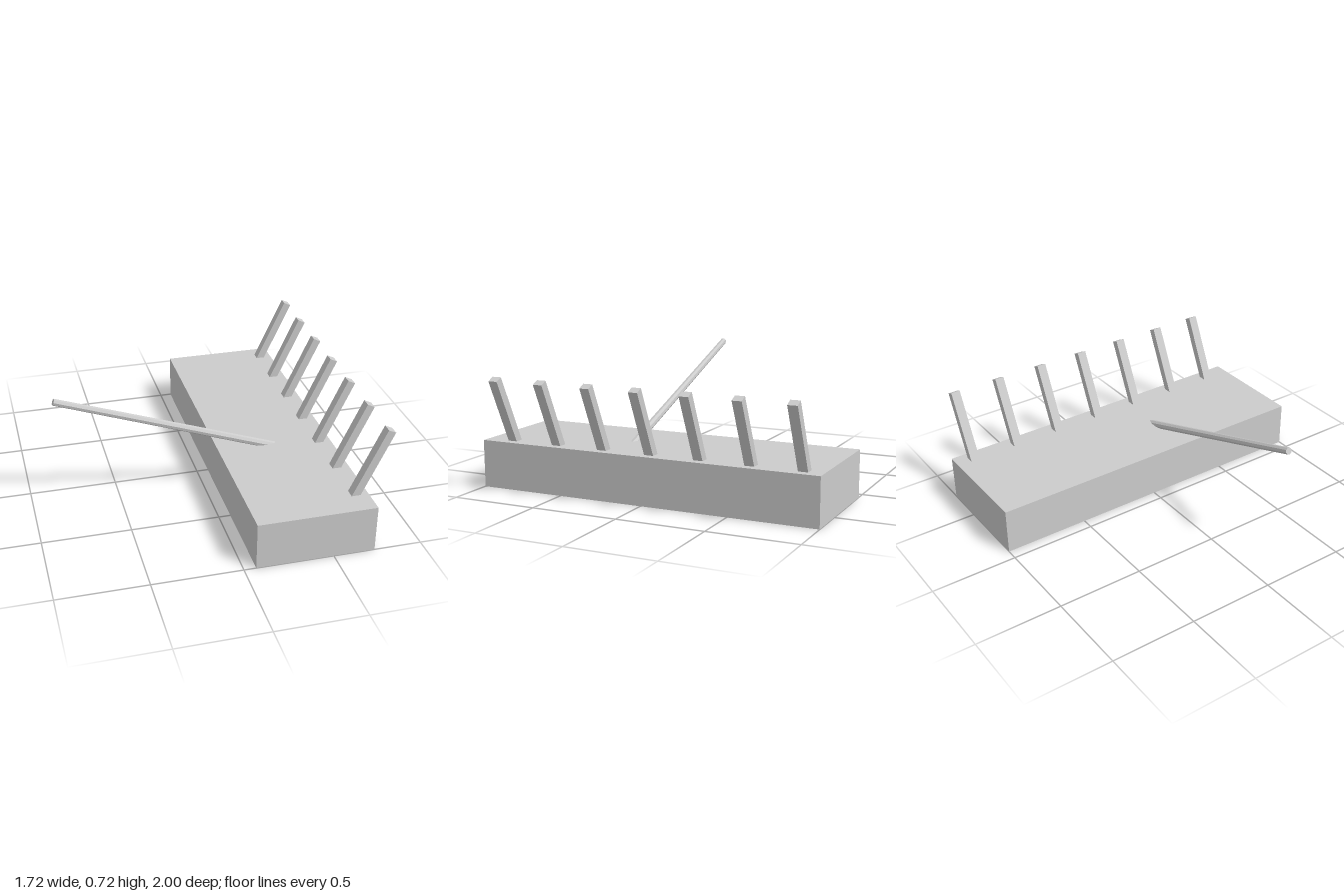
import * as THREE from 'three';

const material = new THREE.MeshStandardMaterial({ color: 0xcccccc, flatShading: true });

// Places a y-aligned geometry of the right length between two points in an xy plane
function between(name, [x0, y0], [x1, y1], z, makeGeometry) {
  const length = Math.hypot(x1 - x0, y1 - y0);
  const mesh = new THREE.Mesh(makeGeometry(length), material);
  mesh.name = name;
  mesh.position.set((x0 + x1) / 2, (y0 + y1) / 2, z);
  mesh.rotation.z = Math.atan2(x0 - x1, y1 - y0);
  return mesh;
}

export function createModel() {
  const group = new THREE.Group();
  group.name = 'peggedBlock';

  // Long rectangular base
  const base = new THREE.Mesh(new THREE.BoxGeometry(0.665, 0.27, 2), material);
  base.name = 'base';
  base.position.set(0.4, 0.135, 0);
  group.add(base);

  // Row of seven square pegs leaning outward, set into the base
  for (let i = 0; i < 7; i++) {
    group.add(between('peg', [0.614, 0.17], [0.835, 0.642], -0.892 + i * 0.288,
      (length) => new THREE.BoxGeometry(0.046, length, 0.054)));
  }

  // Slim, slightly tapered faceted rod rising from the base to the right
  group.add(between('rod', [0.45, 0.234], [-0.853, 0.703], 0.218,
    (length) => new THREE.CylinderGeometry(0.0195, 0.023, length, 8).rotateY(0.2)));

  return group;
}
